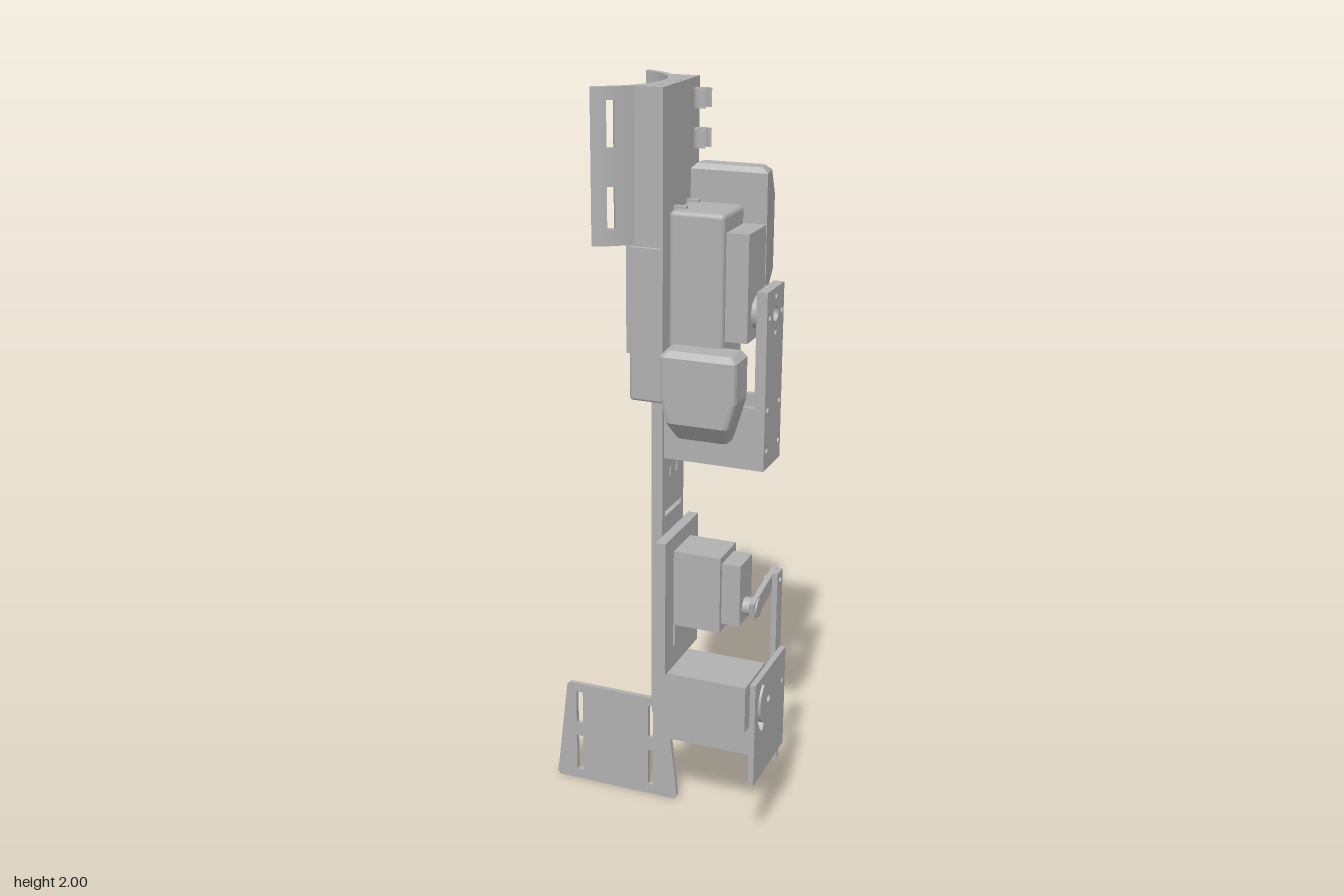
import * as THREE from 'three';
import { RoundedBoxGeometry } from 'three/addons/geometries/RoundedBoxGeometry.js';
import { ConvexGeometry } from 'three/addons/geometries/ConvexGeometry.js';

const grey = new THREE.MeshStandardMaterial({ color: 0xb0b0b0 });
grey.name = 'grey plastic';

export function createModel() {
  const model = new THREE.Group();
  const add = (name, geo) => {
    const m = new THREE.Mesh(geo, grey);
    m.name = name;
    model.add(m);
    return m;
  };
  // Box from its limits, with optional rounded edges
  const box = (name, x0, x1, y0, y1, z0, z1, r = 0) => {
    const s = [x1 - x0, y1 - y0, z1 - z0];
    const g = r ? new RoundedBoxGeometry(...s, 3, r) : new THREE.BoxGeometry(...s);
    return add(name, g.translate((x0 + x1) / 2, (y0 + y1) / 2, (z0 + z1) / 2));
  };
  const rod = (name, x0, x1, y, z, r) =>
    add(name, new THREE.CylinderGeometry(r, r, x1 - x0, 32).rotateZ(Math.PI / 2).translate((x0 + x1) / 2, y, z));
  const poly = (pts) => new THREE.Shape(pts.map((p) => new THREE.Vector2(...p)));
  const rect = (a0, a1, b0, b1) => poly([[a0, b0], [a1, b0], [a1, b1], [a0, b1]]);
  const circle = (a, b, r) => new THREE.Path().absarc(a, b, r, 0, Math.PI * 2, true);
  const extrude = (shape, depth, holes = []) => {
    shape.holes.push(...holes);
    return new THREE.ExtrudeGeometry(shape, { depth, bevelEnabled: false, curveSegments: 16 });
  };
  // Plates facing x (shape in -z, y) and slabs facing y (shape in x, -z)
  const plateX = (name, shape, x0, x1, holes) =>
    add(name, extrude(shape, x1 - x0, holes).rotateY(Math.PI / 2).translate(x0, 0, 0));
  const slabY = (name, shape, y0, y1, holes) =>
    add(name, extrude(shape, y1 - y0, holes).rotateX(-Math.PI / 2).translate(0, y0, 0));

  // Curved cuff: concave block with two slotted wings
  const cx = -0.1435, ri = 0.1685, ro = 0.185;
  const blockShape = (n = 0.117) => {
    const a = Math.asin(n / ri), s = new THREE.Shape();
    s.moveTo(0.073, -n);
    s.lineTo(0.073, n);
    s.lineTo(cx + ri * Math.cos(a), n);
    s.absarc(cx, 0, ri, a, -a, true);
    return s;
  };
  slabY('cuffBlock', blockShape(), 1.36, 1.95);
  slabY('cuffBlockTop', blockShape(), 1.95, 2,
    [circle(0.05, 0.07, 0.007), circle(0.063, 0, 0.007), circle(0.05, -0.073, 0.007)]);
  const wingPart = (side, a0, a1, y0, y1, flatEnd) => {
    const pts = [];
    for (let i = 0; i <= 8; i++) {
      const a = a0 + (a1 - a0) * i / 8;
      pts.push([cx + ro * Math.cos(a), side * ro * Math.sin(a)]);
    }
    if (flatEnd) pts.push([-0.085, side * 0.1755], [-0.085, side * 0.158]);
    for (let i = 8; i >= 0; i--) {
      const a = a0 + (a1 - a0) * i / 8;
      pts.push([cx + ri * Math.cos(a), side * ri * Math.sin(a)]);
    }
    slabY('cuffWing', poly(pts), y0, y1);
  };
  for (const side of [-1, 1]) {
    wingPart(side, 0.68, 0.94, 1.63, 2);
    wingPart(side, 1.045, 1.2, 1.63, 2, true);
    for (const [y0, y1] of [[1.63, 1.67], [1.77, 1.86], [1.97, 2]]) wingPart(side, 0.94, 1.045, y0, y1);
  }
  box('cuffFrontLug', -0.015, 0.073, 1.24, 1.63, 0.08, 0.118, 0.008);
  box('cuffRearBox', -0.018, 0.073, 1.54, 1.655, -0.18, -0.112, 0.012);

  // Open cable clips beside the cuff
  for (const y of [1.835, 1.93]) {
    const s = new THREE.Shape();
    s.absarc(0.095, 0.083, 0.022, 0.6, 5.4, false);
    s.absarc(0.095, 0.083, 0.013, 5.4, 0.6, true);
    slabY('cableClip', s, y, y + 0.045);
  }

  // Upper motor
  box('motorHousing', 0.073, 0.213, 1.33, 1.71, -0.062, 0.082, 0.012);
  box('motorGearbox', 0.213, 0.27, 1.4, 1.665, -0.06, 0.065);
  rod('motorHub', 0.27, 0.292, 1.465, 0, 0.041);
  for (const z of [-0.042, 0.042]) box('motorTab', 0.073, 0.104, 1.7, 1.716, z - 0.007, z + 0.007);

  // Tapered covers from stacked sections: y, x0, x1 inner, x1 outer, z inner, z outer
  const cover = (name, levels, r = 0.012) => {
    const pts = [];
    for (const [y, x0, x1, x1o, zi, zo] of levels) {
      const d = Math.sign(zo - zi);
      pts.push(new THREE.Vector3(x0, y, zi), new THREE.Vector3(x1, y, zi));
      for (const [x, s] of [[x0, 1], [x1o, -1]])
        for (const [u, v] of [[0, 1], [0.3, 0.3], [1, 0]])
          pts.push(new THREE.Vector3(x + s * u * r, y, zo - d * v * r));
    }
    add(name, new ConvexGeometry(pts));
  };
  cover('rearCover', [
    [1.8, 0.088, 0.256, 0.25, -0.065, -0.11],
    [1.787, 0.075, 0.271, 0.262, -0.057, -0.128],
    [1.72, 0.075, 0.272, 0.255, -0.057, -0.175],
    [1.535, 0.075, 0.272, 0.255, -0.057, -0.175],
    [1.482, 0.075, 0.271, 0.262, -0.057, -0.105],
    [1.47, 0.088, 0.256, 0.25, -0.06, -0.085],
  ]);
  cover('frontCover', [
    [1.385, 0.088, 0.257, 0.257, 0.068, 0.137],
    [1.37, 0.075, 0.272, 0.272, 0.066, 0.151],
    [1.27, 0.075, 0.272, 0.272, 0.066, 0.151],
    [1.205, 0.091, 0.254, 0.254, 0.066, 0.151],
    [1.155, 0.105, 0.238, 0.238, 0.066, 0.11],
  ]);

  // Elbow bracket: drilled arm plate and a box-shaped foot
  const bolts = [[-0.045, 1.465], [0.045, 1.465], [0, 1.51], [0, 1.42],
    [-0.045, 1.235], [0.045, 1.235], [-0.045, 1.13], [0.045, 1.13]];
  plateX('bracketArm', rect(-0.065, 0.06, 1.08, 1.53), 0.292, 0.319,
    [circle(0, 1.465, 0.019), ...bolts.map(([u, y]) => circle(u, y, 0.008))]);
  box('bracketFrontWall', 0.055, 0.292, 1.08, 1.24, 0.05, 0.065);
  box('bracketRearWall', 0.055, 0.292, 1.08, 1.24, -0.06, -0.045);
  box('bracketFloor', 0.055, 0.292, 1.1, 1.15, -0.045, 0.05);
  box('bracketInnerWall', 0.055, 0.075, 1.08, 1.24, -0.045, 0.05);

  // Forearm bar with slots
  const bar = poly([[-0.075, 0.36], [0.07, 0.36], [0.07, 1.255], [0.055, 1.27], [-0.06, 1.27], [-0.075, 1.255]]);
  const barHoles = [rect(-0.055, 0.055, 0.918, 0.932), rect(-0.055, 0.055, 1.17, 1.184)];
  for (const u of [-0.022, 0.022]) barHoles.push(rect(u - 0.006, u + 0.006, 1.018, 1.042));
  for (const u of [-0.058, 0.056])
    for (const y of [0.56, 0.76]) barHoles.push(rect(u - 0.006, u + 0.006, y, y + 0.06));
  plateX('forearmBar', bar, 0.027, 0.056, barHoles);

  // Lower servo on its mounting plate
  const mountHoles = [];
  for (const u of [-0.058, 0.056])
    for (const y of [0.56, 0.75]) mountHoles.push(rect(u - 0.007, u + 0.007, y, y + 0.06));
  plateX('servoMount', rect(-0.12, 0.11, 0.5, 0.87), 0.056, 0.083, mountHoles);
  box('servoBody', 0.083, 0.21, 0.62, 0.828, -0.055, 0.062);
  box('servoStep', 0.21, 0.26, 0.642, 0.81, -0.04, 0.05);
  rod('servoShaft', 0.26, 0.3, 0.685, 0.01, 0.024);
  const horn = add('servoHorn', new THREE.BoxGeometry(0.014, 0.048, 0.185));
  horn.position.set(0.288, 0.697, -0.055);
  horn.rotation.x = 0.17;
  plateX('linkRod', rect(0.1, 0.142, 0.4, 0.735), 0.296, 0.311, [circle(0.12, 0.71, 0.008)]);
  rod('linkPin', 0.27, 0.316, 0.71, -0.12, 0.008);

  // Wrist block and pivot plate with an arc slot
  box('wristBlock', 0.056, 0.294, 0.36, 0.49, -0.065, 0.09);
  rod('wristPivot', 0.294, 0.316, 0.425, 0, 0.02);
  const arc = new THREE.Path();
  arc.absarc(0, 0.425, 0.088, Math.PI * 0.68, Math.PI * 1.32, false);
  arc.absarc(0, 0.425, 0.066, Math.PI * 1.32, Math.PI * 0.68, true);
  arc.closePath();
  plateX('pivotPlate', rect(-0.11, 0.135, 0.22, 0.513), 0.313, 0.328,
    [arc, circle(0, 0.425, 0.012), circle(0.11, 0.425, 0.008)]);

  // Hand plate with strap slots
  const hand = poly([[-0.325, 0], [0.03, 0], [0.037, 0.01], [0.017, 0.19], [0.318, 0.19], [0.328, 0.2],
    [0.328, 0.305], [-0.29, 0.305], [-0.298, 0.297], [-0.332, 0.01]]);
  const straps = [];
  for (const [x, w] of [[-0.26, 0.01], [-0.042, 0.008]])
    for (const [y0, y1] of [[0.03, 0.14], [0.18, 0.28]]) straps.push(rect(x - w, x + w, y0, y1));
  add('handPlate', extrude(hand, 0.014, straps).translate(0, 0, -0.097));

  return model;
}
